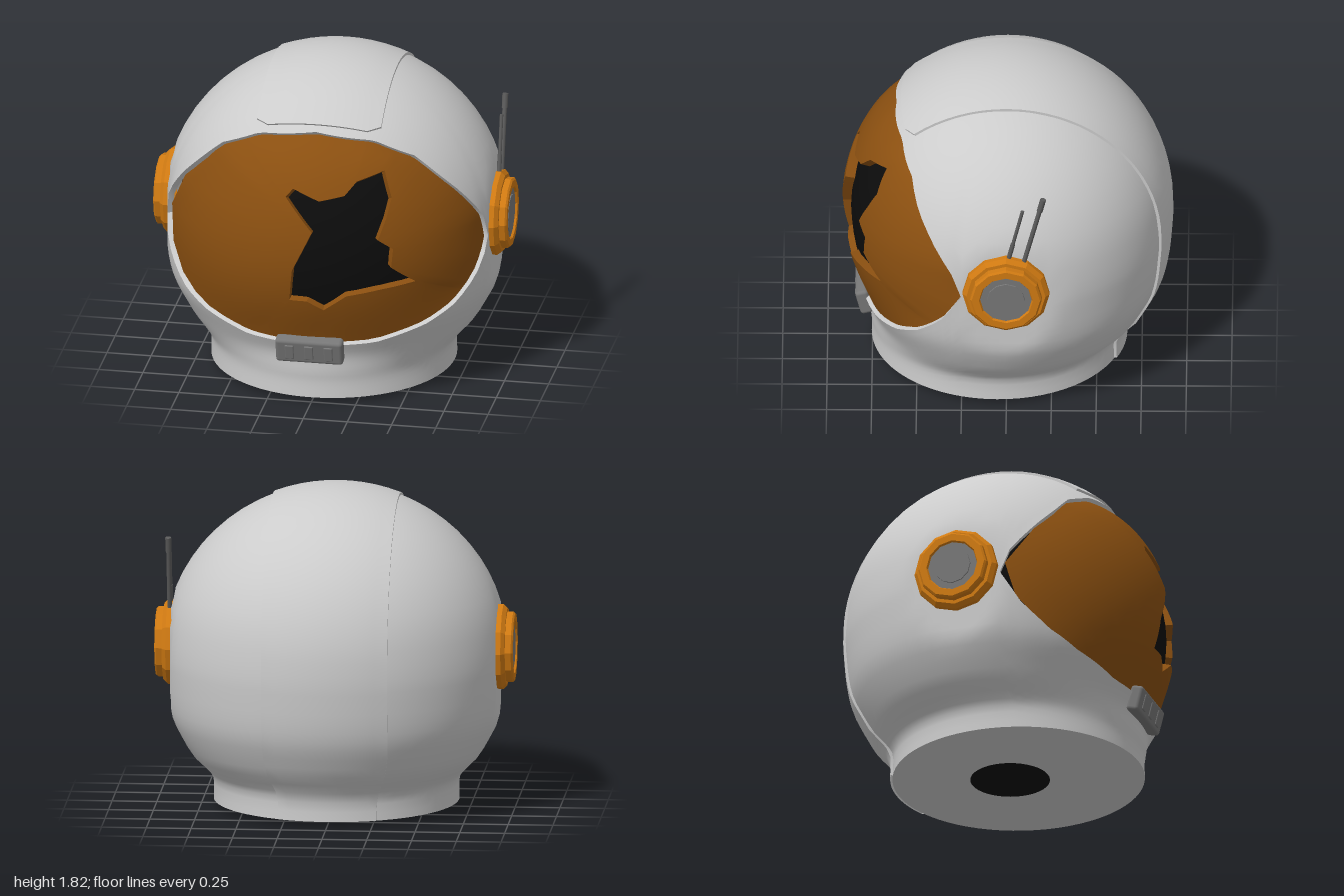
import * as THREE from 'three';
import { mergeGeometries, mergeVertices, toCreasedNormals } from 'three/addons/utils/BufferGeometryUtils.js';
import { RoundedBoxGeometry } from 'three/addons/geometries/RoundedBoxGeometry.js';

const { lerp, clamp, smoothstep, degToRad } = THREE.MathUtils;
const V = (x, y, z) => new THREE.Vector3(x, y, z);
const CENTRE = V(0, 0.9, 0), R = 0.91, TIP = 74;

const mat = (color, flatShading = false) =>
  new THREE.MeshStandardMaterial({ color, flatShading, side: THREE.DoubleSide });
const GREY = mat(0xcccccc), ORANGE = mat(0xd07a12, true), VISOR = mat(0x8a4f10);
const BLACK = mat(0x0c0c0c), DARK = mat(0x777777, true), ROD = mat(0x5c5c5c);

function part(parent, name, geometry, material) {
  const mesh = new THREE.Mesh(geometry, material);
  mesh.name = name;
  parent.add(mesh);
  return mesh;
}

// Surface from rows x columns of points: fn(row, column) returns a Vector3
function grid(rows, cols, fn) {
  const pos = [], idx = [];
  for (let i = 0; i <= rows; i++)
    for (let j = 0; j <= cols; j++) {
      pos.push(...fn(i, j).toArray());
      if (i < rows && j < cols) {
        const a = i * (cols + 1) + j, b = a + cols + 1;
        idx.push(a, b, a + 1, b, b + 1, a + 1);
      }
    }
  const g = new THREE.BufferGeometry();
  g.setAttribute('position', new THREE.Float32BufferAttribute(pos, 3));
  g.setIndex(idx);
  g.computeVertexNormals();
  return g;
}

// Half profile of the shell (radius, height): dome, jaw and neck
const dome = [90, 75, 60, 45, 30, 15, 0].map(d =>
  new THREE.Vector2(R * Math.cos(degToRad(d)), 0.9 + R * Math.sin(degToRad(d))));
const jaw = [[0.905, 0.75], [0.89, 0.6], [0.86, 0.48], [0.79, 0.34], [0.73, 0.22], [0.705, 0.14], [0.705, 0.03]]
  .map(p => new THREE.Vector2(...p));
const profile = new THREE.SplineCurve([...dome, ...jaw]);

function paramAt(y) {
  let lo = 0, hi = 1;
  for (let i = 0; i < 30; i++) {
    const m = (lo + hi) / 2;
    if (profile.getPoint(m).y > y) lo = m; else hi = m;
  }
  return lo;
}

// Sides are a little wide and flattened, the neck sits slightly forward
function bend(x, y, z) {
  const k = smoothstep(y, 0.15, 0.32);
  return V(clamp(x * lerp(0.97, 1.05, k), -0.908, 0.908), y, z + 0.05 * (1 - k));
}
function shellPoint(deg, u) {
  const p = profile.getPoint(u), a = degToRad(deg);
  return bend(Math.sin(a) * p.x, p.y, Math.cos(a) * p.x);
}

// Upper and lower edge of the face opening by angle from the front
const TOP = [[0, 1.57], [28, 1.53], [45, 1.43], [60, 1.2], [70, 1.02], [TIP, 0.87]];
const BOTTOM = [[0, 0.36], [25, 0.38], [44, 0.46], [56, 0.55], [66, 0.68], [TIP, 0.87]];
function edgeY(table, deg) {
  const a = Math.min(Math.abs(deg > 180 ? deg - 360 : deg), TIP);
  const i = Math.max(1, table.findIndex(p => p[0] >= a));
  const [a0, y0] = table[i - 1], [a1, y1] = table[i];
  return lerp(y0, y1, (a - a0) / (a1 - a0));
}

function createShell(group) {
  const N = 80, columns = [];
  for (let j = 0; j <= N; j++)
    columns.push(j <= 40 ? lerp(-TIP, TIP, j / 40) : lerp(TIP, 360 - TIP, (j - 40) / 40));
  const tops = columns.map(a => paramAt(edgeY(TOP, a)));
  const bottoms = columns.map(a => paramAt(edgeY(BOTTOM, a)));
  const upper = grid(16, N, (i, j) => shellPoint(columns[j], tops[j] * i / 16));
  const lower = grid(16, N, (i, j) => shellPoint(columns[j], lerp(bottoms[j], 1, i / 16)));
  const shell = mergeGeometries([upper, lower]);
  shell.deleteAttribute('normal');
  const smooth = mergeVertices(shell, 1e-4);
  smooth.computeVertexNormals();
  part(group, 'shell', smooth, GREY);
  part(group, 'neckBase', grid(1, N, (i, j) => {
    const p = shellPoint(columns[j], 1);
    return i ? V(0, p.y, 0.05) : p;
  }), GREY);
  // Closed loop around the opening
  const loop = [];
  for (let j = 0; j < 40; j++) loop.push(shellPoint(columns[j], tops[j]));
  for (let j = 40; j > 0; j--) loop.push(shellPoint(columns[j], bottoms[j]));
  return loop;
}

const inset = (p, k) => p.clone().sub(CENTRE).multiplyScalar(k).add(CENTRE);

// Jagged hole in the visor, as seen from the front
const HOLE = [[-0.13, 1.26], [-0.09, 1.305], [0.06, 1.25], [0.2, 1.28], [0.26, 1.35], [0.4, 1.39], [0.45, 1.25],
  [0.43, 1.15], [0.39, 1.03], [0.47, 0.97], [0.46, 0.86], [0.58, 0.75], [0.4, 0.73], [0.22, 0.7], [0.09, 0.605],
  [0, 0.66], [-0.1, 0.66], [-0.08, 0.85], [0.03, 1.08]];
const HX = 0.2, HY = 1.0;

// Point of the loop met by a ray from the middle of the hole
function loopHit(loop, dx, dy) {
  const cross = p => dx * (p.y - HY) - dy * (p.x - HX);
  for (let i = 0; i < loop.length; i++) {
    const a = loop[i], b = loop[(i + 1) % loop.length], ca = cross(a), cb = cross(b);
    if (ca * cb > 0 || ca === cb) continue;
    const p = a.clone().lerp(b, ca / (ca - cb));
    if ((p.x - HX) * dx + (p.y - HY) * dy > 0) return p;
  }
  return loop[0];
}

function createVisor(group, loop) {
  const RIN = 0.92, STEPS = 5, inner = [], outer = [];
  HOLE.forEach(([x0, y0], i) => {
    const [x1, y1] = HOLE[(i + 1) % HOLE.length];
    for (let s = 0; s < STEPS; s++) {
      const x = lerp(x0, x1, s / STEPS), y = lerp(y0, y1, s / STEPS);
      inner.push(V(x, y - 0.9, Math.sqrt(RIN * RIN - x * x - (y - 0.9) ** 2)));
      outer.push(inset(loopHit(loop, x - HX, y - HY), 0.975).sub(CENTRE));
    }
  });
  const n = inner.length;
  part(group, 'visor', grid(10, n, (i, j) => {
    const a = inner[j % n], b = outer[j % n], s = i / 10;
    return a.clone().lerp(b, s).setLength(lerp(RIN, b.length(), s ** 3)).add(CENTRE);
  }), VISOR);
  // Broken edge of the glass
  part(group, 'visorBrokenEdge', grid(1, n, (i, j) =>
    inner[j % n].clone().multiplyScalar(i ? 1 : 0.94).add(CENTRE)), mat(0x8a4f10, true));
  part(group, 'openingLip', grid(1, loop.length, (i, j) =>
    inset(loop[j % loop.length], i ? 0.965 : 1)), GREY);
}

// Raised band from the brow over the crown to the back of the neck
function createBand(group) {
  const ROWS = 44, COLS = 12, ARC = 28;
  const band = grid(ROWS, COLS, (i, j) => {
    const s = clamp((j - 1) / (COLS - 2), 0, 1) * 2 - 1;
    const row = clamp(i, 1, ROWS);
    const off = i === 0 || j === 0 || j === COLS ? -0.012 : 0.013;
    if (row <= ARC) {
      const x = s * 0.335, ring = Math.sqrt((R + off) ** 2 - x * x);
      const front = Math.abs(s) > 0.85 ? 37 : 40;
      const a = degToRad(lerp(front, -90, (row - 1) / (ARC - 1)));
      return bend(x, 0.9 + ring * Math.cos(a), ring * Math.sin(a));
    }
    const y = lerp(0.9, 0.032, (row - ARC) / (ROWS - ARC));
    const x = s * lerp(0.28, 0.335, smoothstep(y, 0.05, 0.5));
    const r = profile.getPoint(paramAt(y)).x + off;
    return bend(x, y, -Math.sqrt(r * r - x * x));
  });
  part(group, 'crownBand', toCreasedNormals(band, 0.6), GREY);
}

function createEar(side) {
  const ear = new THREE.Group();
  ear.name = side > 0 ? 'leftEarpiece' : 'rightEarpiece';
  const cap = [[0.235, 0.86], [0.242, 0.9], [0.242, 0.935], [0.22, 0.957], [0.2, 0.957], [0.2, 0.99], [0.19, 1], [0.15, 1], [0.142, 0.985]];
  part(ear, 'earCap', new THREE.LatheGeometry(cap.map(p => new THREE.Vector2(...p)), 12), ORANGE);
  part(ear, 'earDisc', new THREE.CylinderGeometry(0.145, 0.145, 0.04, 12), DARK).position.y = 0.968;
  part(ear, 'earDiscCentre', new THREE.CylinderGeometry(0.105, 0.108, 0.02, 12), DARK).position.y = 0.984;
  ear.rotation.z = -side * Math.PI / 2;
  ear.position.y = 0.91;
  return ear;
}

function rod(group, name, a, b, radius) {
  const dir = b.clone().sub(a);
  const mesh = part(group, name, new THREE.CylinderGeometry(radius, radius, dir.length(), 8), ROD);
  mesh.position.copy(a).add(b).multiplyScalar(0.5);
  mesh.quaternion.setFromUnitVectors(V(0, 1, 0), dir.normalize());
}

export function createModel() {
  const group = new THREE.Group();
  group.name = 'helmet';
  const loop = createShell(group);
  createVisor(group, loop);
  createBand(group);
  // Dark interior, showing through the hole and under the neck
  part(group, 'interior', new THREE.SphereGeometry(0.87, 40, 28), BLACK).position.y = 0.87;

  group.add(createEar(1), createEar(-1));

  // Pair of antennas on the left earpiece
  const X = 0.92;
  rod(group, 'longAntenna', V(X, 1.08, -0.09), V(X, 1.54, -0.207), 0.013);
  rod(group, 'longAntennaTip', V(X, 1.46, -0.187), V(X, 1.54, -0.207), 0.017);
  rod(group, 'shortAntenna', V(X, 1.1, -0.005), V(X, 1.46, -0.092), 0.01);
  rod(group, 'shortAntennaSleeve', V(X, 1.1, -0.005), V(X, 1.24, -0.039), 0.013);

  // Chin latch with three raised keys
  const latch = new THREE.Group();
  latch.name = 'chinLatch';
  part(latch, 'latchBody', new RoundedBoxGeometry(0.38, 0.15, 0.075, 2, 0.02), mat(0x777777));
  for (const x of [-0.11, 0, 0.11]) {
    const key = part(latch, 'latchKey', new RoundedBoxGeometry(0.05, 0.09, 0.014, 2, 0.006), mat(0x777777));
    key.position.set(x, 0, 0.037);
  }
  latch.position.set(0, 0.335, 0.795);
  latch.rotation.x = 0.25;
  group.add(latch);
  return group;
}
